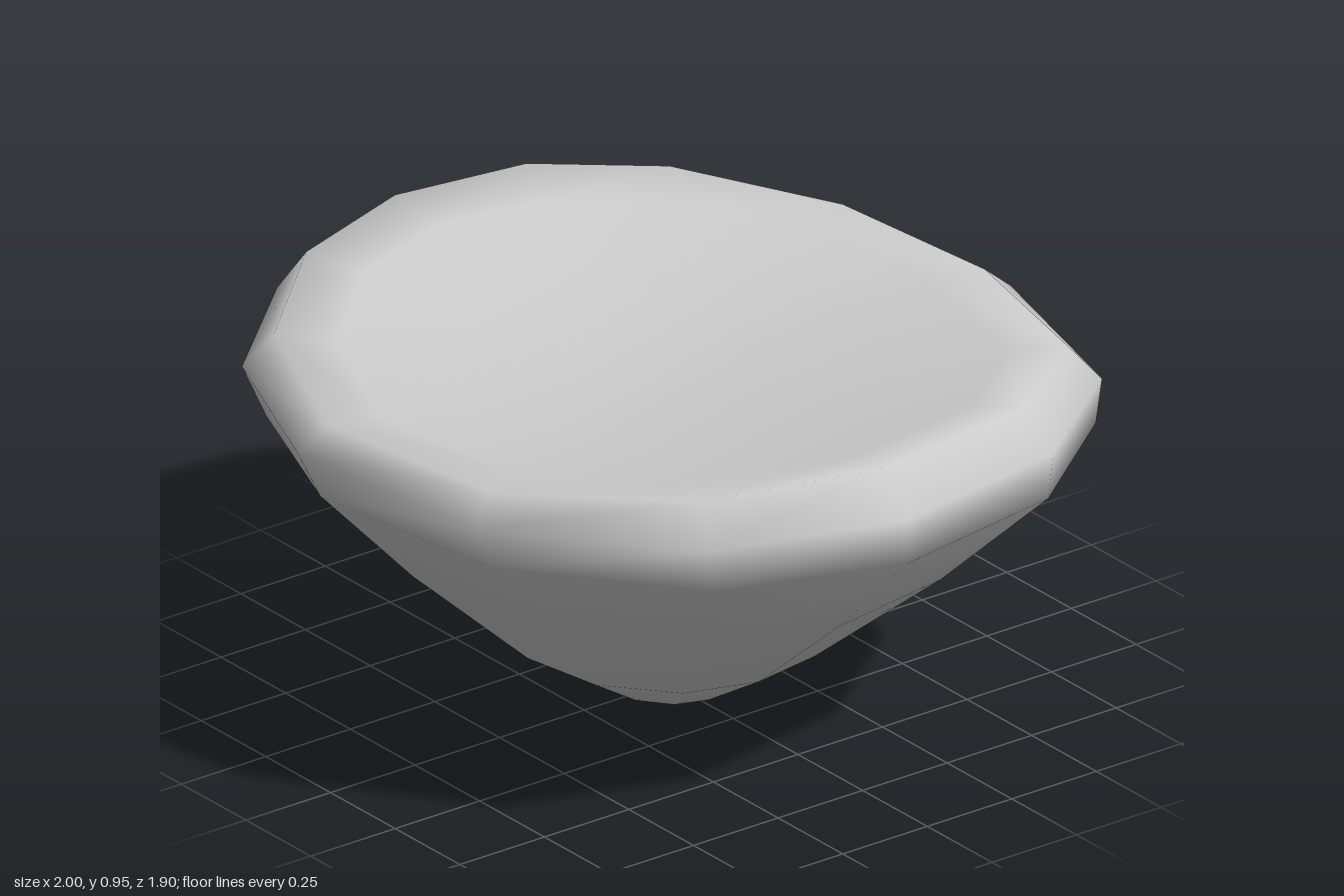
import * as THREE from 'three';

// Rim outline as [x, z], going round from the back
const OUTLINE = [
  [0.08, -0.95], [0.63, -0.80], [0.91, -0.44], [1.0, 0.06], [0.84, 0.53], [0.39, 0.87], [-0.19, 0.95],
  [-0.63, 0.78], [-0.90, 0.47], [-1.0, 0.11], [-0.96, -0.28], [-0.78, -0.60], [-0.41, -0.87],
];

// Rings from the base up: outline scale, height, x shift, rise towards the sides, tilt along x
const RINGS = [
  [0.17, 0.02, 0.0, 0.0, 0.01],
  [0.38, 0.14, 0.0, 0.02, 0.02],
  [0.70, 0.42, 0.015, 0.01, 0.0],
  [0.965, 0.69, 0.035, 0.01, 0.0],
  [1.0, 0.79, 0.0, 0.03, -0.01],
  [0.925, 0.85, 0.0, 0.10, -0.015],
  [0.78, 0.845, 0.0, 0.10, -0.015],
  [0.52, 0.83, 0.0, 0.09, -0.01],
  [0.26, 0.82, 0.0, 0.08, 0.0],
];

// Closed smooth skin lofted through the rings
function stoneGeometry() {
  const n = OUTLINE.length;
  const points = [0, 0, 0];
  const faces = [];
  for (const [scale, height, shift, rise, tilt] of RINGS) {
    for (const [ox, oz] of OUTLINE) {
      const x = ox * scale;
      points.push(x + shift, height + rise * x * x + tilt * x, oz * scale);
    }
  }
  points.push(0, 0.815, 0);
  const last = RINGS.length - 1;
  const top = points.length / 3 - 1;
  for (let i = 0; i < n; i++) {
    const j = (i + 1) % n;
    faces.push(0, 1 + i, 1 + j);
    for (let r = 0; r < last; r++) {
      const a = 1 + r * n + i, b = 1 + r * n + j;
      faces.push(a, a + n, b, b, a + n, b + n);
    }
    faces.push(1 + last * n + i, top, 1 + last * n + j);
  }
  const geometry = new THREE.BufferGeometry();
  geometry.setAttribute('position', new THREE.Float32BufferAttribute(points, 3));
  geometry.setIndex(faces);
  geometry.computeVertexNormals();
  return geometry;
}

export function createModel() {
  const group = new THREE.Group();
  group.name = 'dishedStone';
  const stoneGrey = new THREE.MeshStandardMaterial({ color: 0xcccccc });
  stoneGrey.name = 'stone grey';
  const stone = new THREE.Mesh(stoneGeometry(), stoneGrey);
  stone.name = 'stone';
  group.add(stone);
  return group;
}
